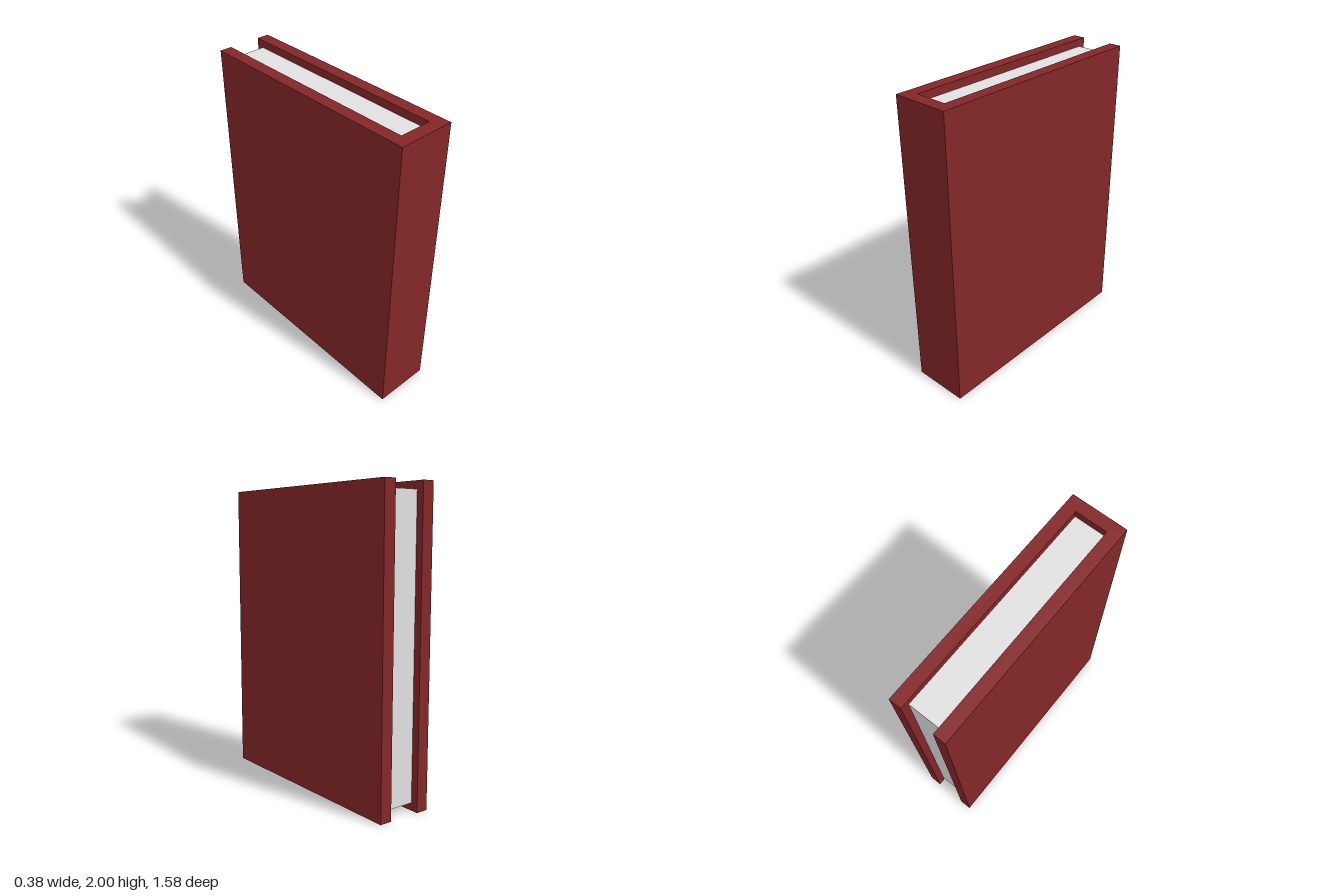
import * as THREE from 'three';

export function createModel() {
  const book = new THREE.Group();
  book.name = 'book';

  const coverRed = new THREE.MeshStandardMaterial({ color: 0x832628 });
  coverRed.name = 'cover red';
  const paperGrey = new THREE.MeshStandardMaterial({ color: 0xe0e0e0 });
  paperGrey.name = 'paper grey';

  const W = 0.19, D = 0.788, H = 2; // half width, half depth, height
  const inner = 0.108;              // inner face of each board
  const spineBack = 0.705;          // inner face of the spine
  const inset = 0.05;               // pages set back from the cover edges

  // Cover: a U-shaped outline (shape y becomes -z) raised to full height
  const outline = new THREE.Shape([
    [-W, -D], [W, -D], [W, D], [inner, D],
    [inner, -spineBack], [-inner, -spineBack], [-inner, D], [-W, D],
  ].map(([x, y]) => new THREE.Vector2(x, y)));
  const coverGeometry = new THREE.ExtrudeGeometry(outline, { depth: H, bevelEnabled: false });
  coverGeometry.rotateX(-Math.PI / 2);
  const cover = new THREE.Mesh(coverGeometry, coverRed);
  cover.name = 'cover';
  book.add(cover);

  // Page block between the boards
  const pageDepth = spineBack + D - inset;
  const pages = new THREE.Mesh(
    new THREE.BoxGeometry(inner * 2, H - inset * 2, pageDepth), paperGrey);
  pages.name = 'pages';
  pages.position.set(0, H / 2, spineBack - pageDepth / 2);
  book.add(pages);

  return book;
}
